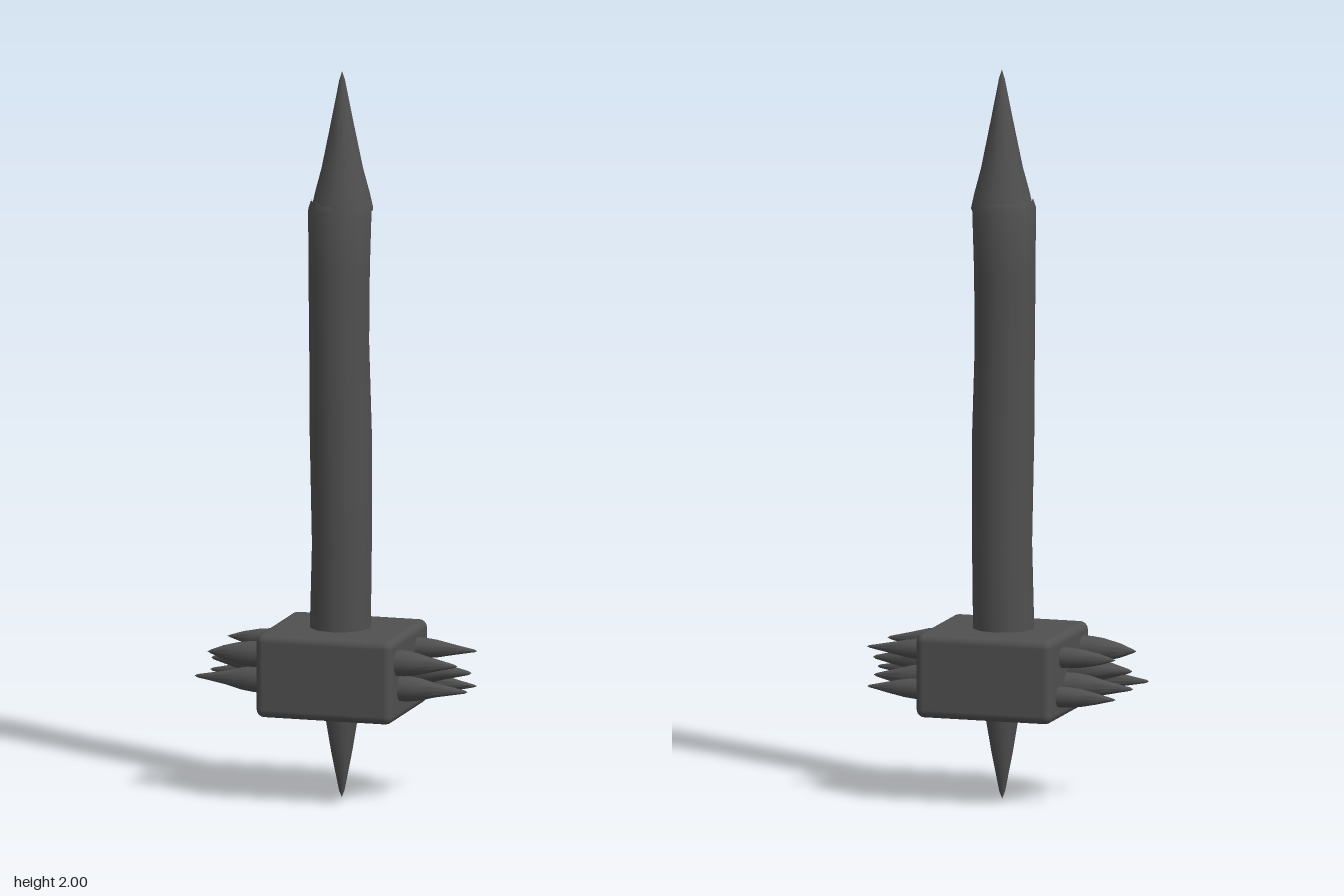
import * as THREE from 'three';
import { toCreasedNormals } from 'three/addons/utils/BufferGeometryUtils.js';
import { RoundedBoxGeometry } from 'three/addons/geometries/RoundedBoxGeometry.js';

const iron = new THREE.MeshStandardMaterial({ color: 0x505050 });
iron.name = 'dark iron';

// Turned part from [radius, height] pairs, smooth around and sharp at strong edges
function turned(name, profile, sides, bend) {
  const geometry = new THREE.LatheGeometry(profile.map(([r, y]) => new THREE.Vector2(r, y)), sides);
  if (bend) {
    const p = geometry.attributes.position;
    for (let i = 0; i < p.count; i++) {
      const [dx, dz] = bend(p.getY(i));
      p.setXYZ(i, p.getX(i) + dx, p.getY(i), p.getZ(i) + dz);
    }
  }
  const mesh = new THREE.Mesh(toCreasedNormals(geometry, 0.7), iron);
  mesh.name = name;
  return mesh;
}

export function createModel() {
  const model = new THREE.Group();
  model.name = 'spikedMace';

  // Shaft with slightly uneven, hand-forged sides
  const wobble = (y) => [0.004 * Math.sin(y * 5 + 4), 0.002 * Math.sin(y * 7)];
  model.add(turned('shaft', [
    [0.085, 0.4], [0.083, 0.7], [0.086, 1.0], [0.083, 1.25], [0.085, 1.45], [0.088, 1.62], [0.08, 1.645],
  ], 12, wobble));

  // Long point at the top
  model.add(turned('topPoint', [
    [0.086, 1.62], [0.077, 1.66], [0.058, 1.73], [0.031, 1.86], [0.008, 1.975], [0, 2],
  ], 12, () => [0.005, 0]));

  // Short point below the block
  model.add(turned('bottomPoint', [
    [0, 0], [0.008, 0.02], [0.03, 0.13], [0.052, 0.26],
  ], 12, () => [0.004, 0]));

  // Block with softened edges
  const block = new THREE.Mesh(new RoundedBoxGeometry(0.385, 0.23, 0.35, 3, 0.022), iron);
  block.name = 'block';
  block.position.set(0.004, 0.355, 0);
  model.add(block);

  // Side spikes: [y, z, radius, left tip x, right tip x]
  const spikes = [
    [0.403, 0.113, 0.039, 0.365, 0.34],
    [0.328, 0.085, 0.039, 0.385, 0.385],
    [0.366, 0.015, 0.045, 0.375, 0.36],
    [0.325, -0.025, 0.04, 0.36, 0.375],
    [0.41, -0.07, 0.031, 0.365, 0.34],
    [0.307, -0.1, 0.031, 0.355, 0.35],
  ];
  for (const side of [1, -1]) {
    const cluster = new THREE.Group();
    cluster.name = side > 0 ? 'leftSpikes' : 'rightSpikes';
    for (const [y, z, r, leftTip, rightTip] of spikes) {
      const tip = side > 0 ? leftTip : rightTip;
      const spike = turned('spike', [
        [r * 0.92, 0.15], [r * 0.92, 0.215], [r * 0.8, 0.25], [r * 0.5, 0.295], [r * 0.12, tip - 0.008], [0, tip],
      ], 12);
      spike.rotation.z = -side * Math.PI / 2;
      spike.position.set(0, y, z);
      cluster.add(spike);
    }
    model.add(cluster);
  }
  return model;
}
